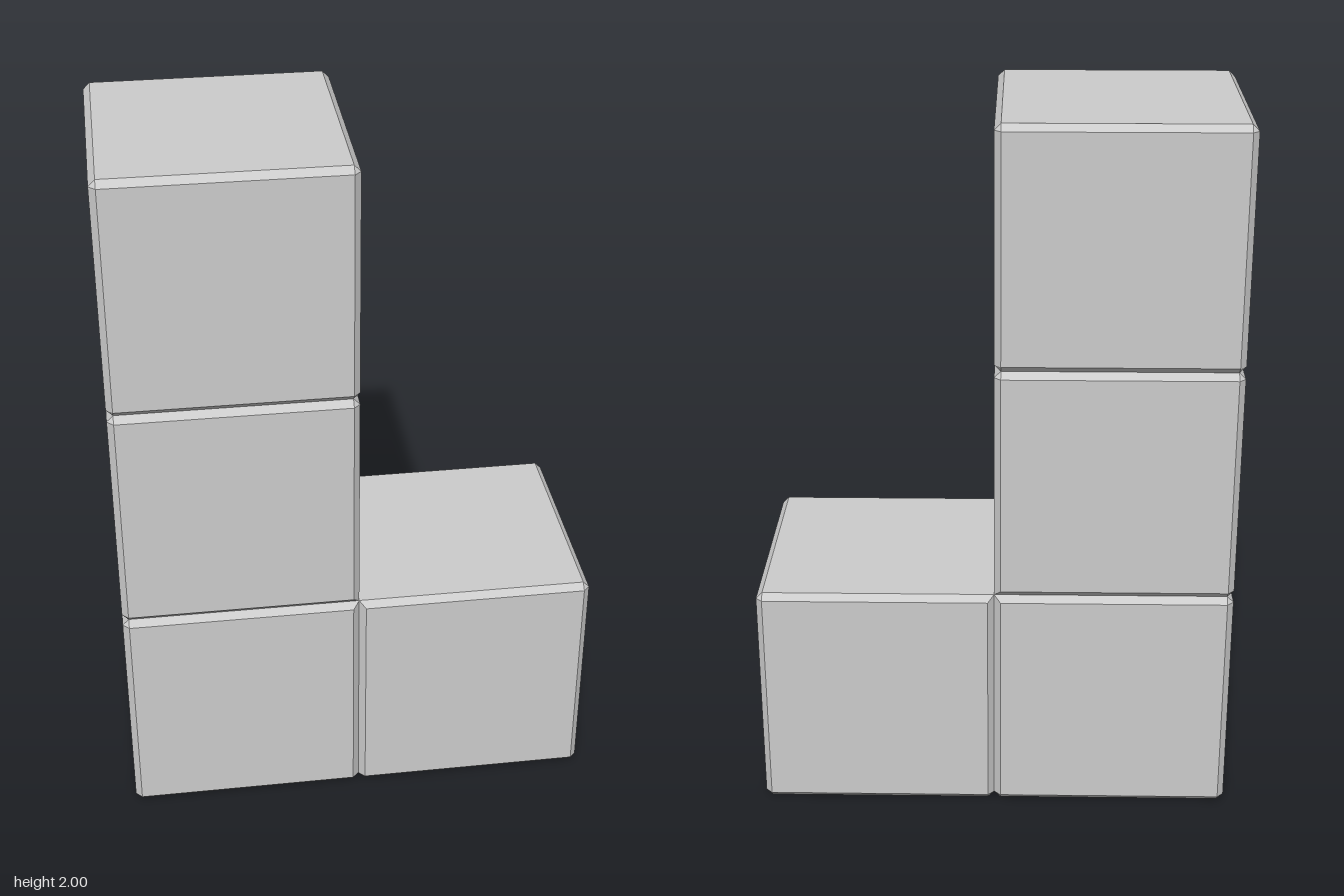
import * as THREE from 'three';
import { ConvexGeometry } from 'three/addons/geometries/ConvexGeometry.js';

const SIZE = 2 / 3; // cube edge
const BEVEL = 0.018; // chamfer width

// Chamfered cube; the one z-running edge at (sharpX, sharpY) can stay unchamfered.
function chamferedCube(sharpX = 0, sharpY = 0) {
  const h = SIZE / 2, i = h - BEVEL;
  const points = [];
  for (const x of [-1, 1]) for (const y of [-1, 1]) for (const z of [-1, 1]) {
    points.push(new THREE.Vector3(x * i, y * i, z * h));
    if (x === sharpX && y === sharpY) {
      points.push(new THREE.Vector3(x * h, y * h, z * i));
    } else {
      points.push(new THREE.Vector3(x * h, y * i, z * i));
      points.push(new THREE.Vector3(x * i, y * h, z * i));
    }
  }
  return new ConvexGeometry(points);
}

export function createModel() {
  const group = new THREE.Group();
  group.name = 'lShapedBlock';
  const material = new THREE.MeshStandardMaterial({ color: 0xcccccc, flatShading: true });

  // Column, row and the edge left sharp where the blocks meet in the inner corner
  const cubes = [
    { name: 'cornerCube', column: -0.5, row: 0, sharp: [1, 1] },
    { name: 'middleCube', column: -0.5, row: 1, sharp: [1, -1] },
    { name: 'topCube', column: -0.5, row: 2, sharp: [0, 0] },
    { name: 'footCube', column: 0.5, row: 0, sharp: [-1, 1] },
  ];
  for (const { name, column, row, sharp } of cubes) {
    const cube = new THREE.Mesh(chamferedCube(...sharp), material);
    cube.name = name;
    cube.position.set(column * SIZE, (row + 0.5) * SIZE, 0);
    group.add(cube);
  }
  return group;
}
